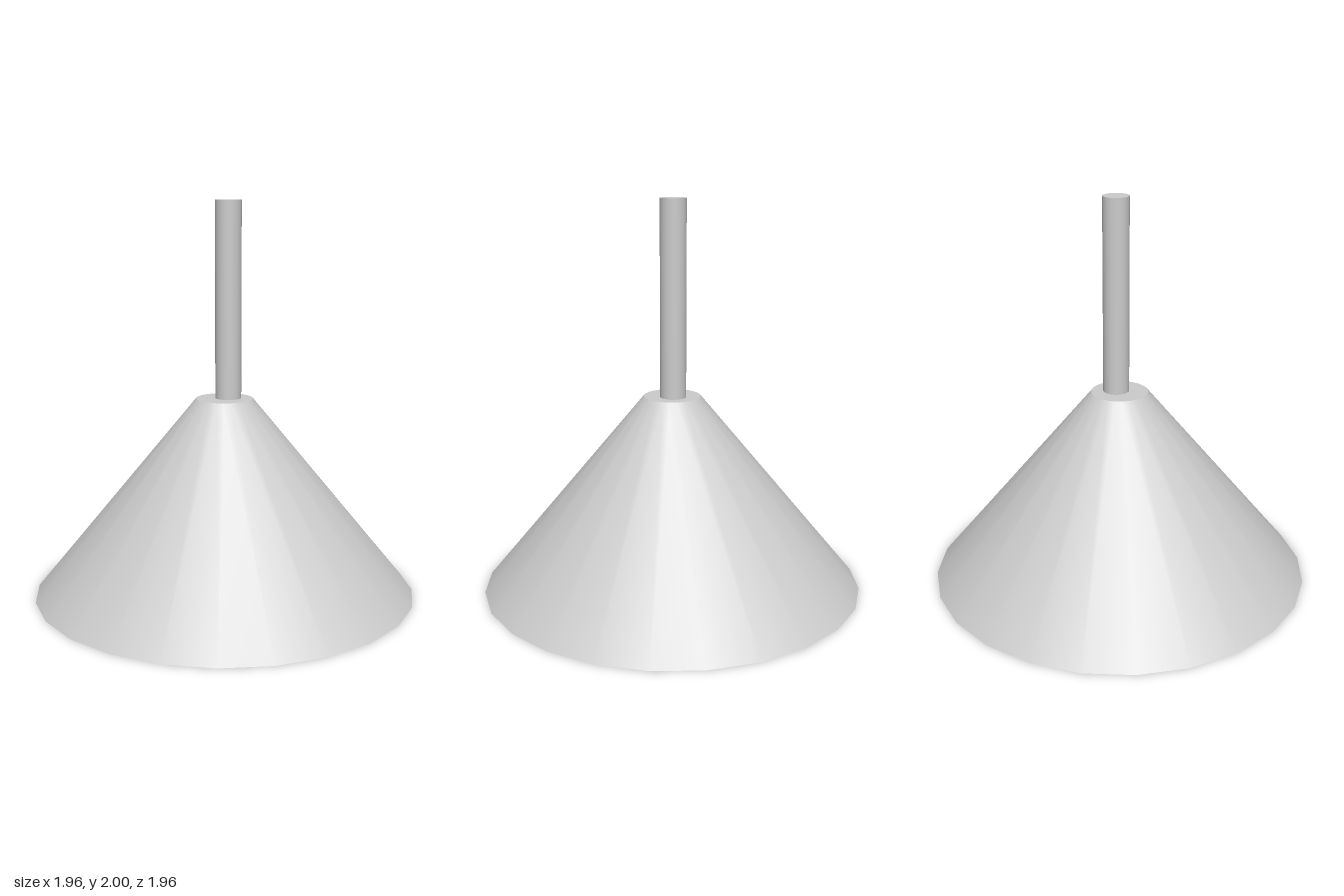
import * as THREE from 'three';
import { toCreasedNormals } from 'three/addons/utils/BufferGeometryUtils.js';

export function createModel() {
  const group = new THREE.Group();
  group.name = 'pendantLamp';
  const material = new THREE.MeshStandardMaterial({ color: 0xcccccc });

  // Thick hollow conical shade: ceiling, inner wall, rim, outer wall, top
  const profile = [
    [0, 0.85], [0.075, 0.85], [0.778, 0], [0.978, 0], [0.145, 1.01], [0, 1.01],
  ].map(([r, y]) => new THREE.Vector2(r, y));
  const shade = new THREE.Mesh(
    toCreasedNormals(new THREE.LatheGeometry(profile, 24), Math.PI / 6),
    material
  );
  shade.name = 'shade';
  group.add(shade);

  // Hanging rod, slightly off the shade's axis
  const rod = new THREE.Mesh(new THREE.CylinderGeometry(0.066, 0.066, 0.99, 32), material);
  rod.name = 'rod';
  rod.position.set(0.01, 1.505, -0.02);
  group.add(rod);

  return group;
}
